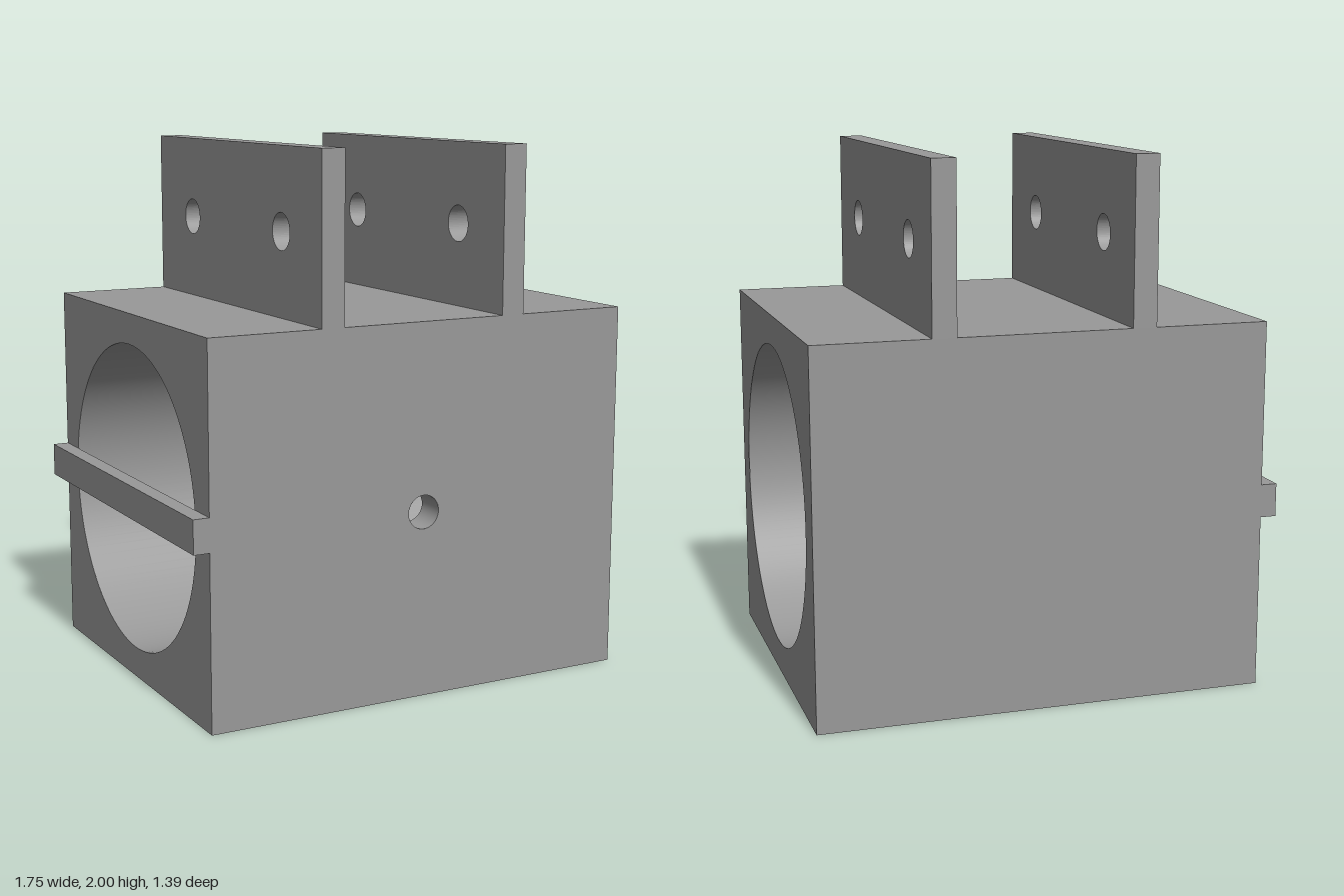
import * as THREE from 'three';

const LENGTH = 1.69, SIDE = 1.386, HALF = SIDE / 2;
const BORE = 0.578, PIN = 0.0625, STRIP = 0.075;
const CENTRE_X = 0.03;

// Rectangle centred on the origin with round holes given as [x, y, radius]
function plate(w, h, holes = []) {
  const s = new THREE.Shape();
  s.moveTo(-w / 2, -h / 2).lineTo(w / 2, -h / 2).lineTo(w / 2, h / 2).lineTo(-w / 2, h / 2).closePath();
  for (const [x, y, r] of holes) s.holes.push(new THREE.Path().absarc(x, y, r, 0, Math.PI * 2, true));
  return s;
}

export function createModel() {
  const grey = new THREE.MeshStandardMaterial({ color: 0x999999, side: THREE.DoubleSide });
  grey.name = 'grey';

  const model = new THREE.Group();
  model.name = 'boredBracket';
  const body = new THREE.Group();
  body.name = 'body';
  body.position.set(CENTRE_X, HALF, 0);
  model.add(body);

  const add = (parent, name, geometry, x = 0, y = 0, z = 0) => {
    const mesh = new THREE.Mesh(geometry, grey);
    mesh.name = name;
    mesh.position.set(x, y, z);
    parent.add(mesh);
    return mesh;
  };

  // Outer faces of the block
  const face = (name, shape, pos, rx, ry) =>
    add(body, name, new THREE.ShapeGeometry(shape, 48), ...pos).rotation.set(rx, ry, 0);
  const q = Math.PI / 2;
  face('frontFace', plate(LENGTH, SIDE, [[0, 0, PIN]]), [0, 0, HALF], 0, 0);
  face('backFace', plate(LENGTH, SIDE), [0, 0, -HALF], 0, Math.PI);
  face('topFace', plate(LENGTH, SIDE), [0, HALF, 0], -q, 0);
  face('bottomFace', plate(LENGTH, SIDE), [0, -HALF, 0], q, 0);
  for (const s of [-1, 1]) {
    face(s < 0 ? 'rightEndFace' : 'leftEndFace', plate(SIDE, SIDE, [[0, 0, BORE]]), [s * LENGTH / 2, 0, 0], 0, s * q);
  }

  // Bore wall, open along a narrow strip at the front
  const a = Math.asin(STRIP / BORE);
  const bore = new THREE.CylinderGeometry(BORE, BORE, LENGTH, 96, 1, true, a, Math.PI * 2 - 2 * a);
  add(body, 'boreWall', bore.rotateZ(q));

  // Front strip of the bore, pierced by the pin hole and bent to the bore radius
  const strip = new THREE.ShapeGeometry(plate(LENGTH, STRIP * 2, [[0, 0, PIN]]), 48);
  const sp = strip.attributes.position;
  for (let i = 0; i < sp.count; i++) {
    const y = sp.getY(i), z = Math.sqrt(BORE * BORE - y * y);
    sp.setZ(i, z);
    strip.attributes.normal.setXYZ(i, 0, y / BORE, z / BORE);
  }
  add(body, 'boreStrip', strip);

  // Pin hole wall, its inner end trimmed to the bore
  const pin = new THREE.CylinderGeometry(PIN, PIN, 2 * HALF, 48, 1, true).rotateX(q);
  const pp = pin.attributes.position;
  for (let i = 0; i < pp.count; i++) {
    if (pp.getZ(i) < 0) pp.setZ(i, Math.sqrt(BORE * BORE - pp.getY(i) ** 2));
  }
  add(body, 'pinHoleWall', pin);

  // Two upright lugs, each with two bolt holes
  const lugHeight = 2 - SIDE, lugThickness = 0.09;
  const lugShape = plate(SIDE, lugHeight, [-0.385, 0.385].map(z => [z, 0.003, 0.068]));
  const lug = new THREE.ExtrudeGeometry(lugShape, { depth: lugThickness, bevelEnabled: false, curveSegments: 32 });
  lug.translate(0, 0, -lugThickness / 2).rotateY(q);
  for (const s of [-1, 1]) {
    add(model, s < 0 ? 'rightLug' : 'leftLug', lug, CENTRE_X + s * 0.37, SIDE + lugHeight / 2, 0);
  }

  // Bar across the right end of the bore
  add(model, 'crossBar', new THREE.BoxGeometry(0.06, 0.124, SIDE), -0.845, 0.712, 0);

  return model;
}
